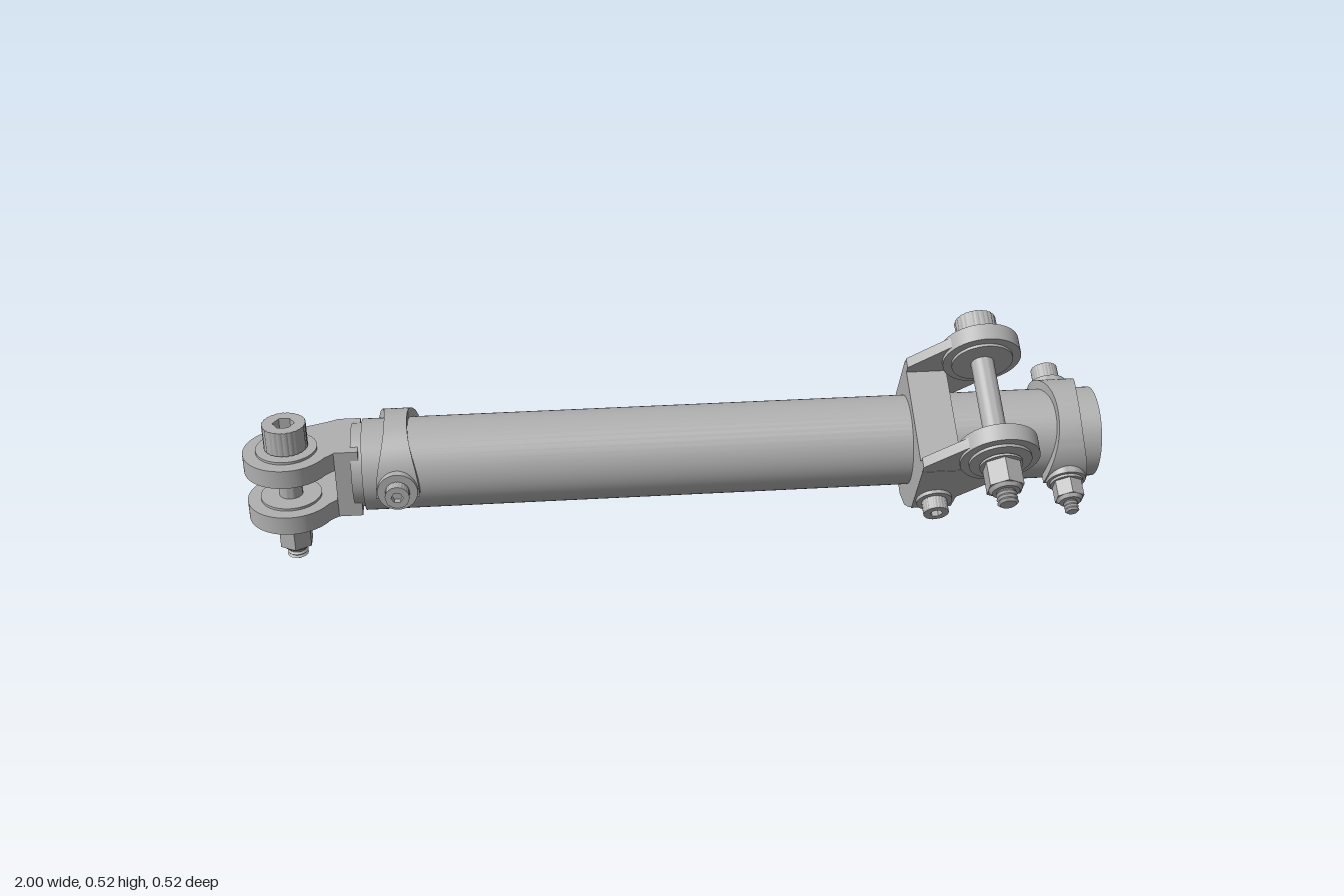
import * as THREE from 'three';
import { toCreasedNormals } from 'three/addons/utils/BufferGeometryUtils.js';

const CY = 0.208, CZ = -0.083; // tube axis
const steel = new THREE.MeshStandardMaterial({ color: 0xb0b0b0 });
steel.name = 'grey steel';

function add(parent, name, geo) {
  const m = new THREE.Mesh(toCreasedNormals(geo, 0.5), steel);
  m.name = name;
  parent.add(m);
  return m;
}

// hollow ring around +y, from y0 to y1
function ring(ri, ro, y0, y1, seg = 48) {
  const p = [[ri, y0], [ro, y0], [ro, y1], [ri, y1], [ri, y0]];
  return new THREE.LatheGeometry(p.map(([x, y]) => new THREE.Vector2(x, y)), seg);
}

// solid cylinder around +y, from y0 to y1
function rod(r, y0, y1, seg = 32) {
  return new THREE.CylinderGeometry(r, r, y1 - y0, seg).translate(0, (y0 + y1) / 2, 0);
}

// threaded rod with a chamfered tip, running down from y1 to y0
function thread(r, y0, y1) {
  const n = Math.max(2, Math.round((y1 - y0) / 0.009));
  const pts = [new THREE.Vector2(0, y0)];
  for (let i = 0; i <= 2 * n; i++) {
    const rr = i === 0 ? r * 0.75 : i % 2 ? r : r * 0.82;
    pts.push(new THREE.Vector2(rr, y0 + (y1 - y0) * i / (2 * n)));
  }
  return new THREE.LatheGeometry(pts, 24);
}

function extrude(shape, depth) {
  return new THREE.ExtrudeGeometry(shape, { depth, bevelEnabled: false, curveSegments: 24 });
}

// knurled cap head with a hexagonal socket, from y = 0 up
function capHead(r, len) {
  const s = new THREE.Shape();
  for (let i = 0; i < 72; i++) {
    const a = i / 72 * Math.PI * 2, rr = i % 3 ? r : r * 0.965;
    s[i ? 'lineTo' : 'moveTo'](rr * Math.cos(a), rr * Math.sin(a));
  }
  const hex = new THREE.Path();
  for (let i = 0; i < 6; i++) {
    const a = -i * Math.PI / 3;
    hex[i ? 'lineTo' : 'moveTo'](r * 0.5 * Math.cos(a), r * 0.5 * Math.sin(a));
  }
  s.holes.push(hex);
  return extrude(s, len).rotateX(-Math.PI / 2);
}

// bolt along y: head sits on y = 0, nut is clamped at y = -grip
function bolt(name, { headR, headLen, grip, r, nutR = 0, nutLen = 0, tip = 0, threaded = false }) {
  const g = new THREE.Group();
  g.name = name;
  add(g, 'boltHead', capHead(headR, headLen));
  add(g, 'socketFloor', rod(headR * 0.7, 0, headLen * 0.4));
  add(g, 'boltShank', threaded ? thread(r, -grip, 0) : rod(r, -grip, 0));
  if (nutR) {
    add(g, 'nutWasher', rod(nutR * 1.1, -grip - 0.006, -grip));
    add(g, 'nut', new THREE.CylinderGeometry(nutR, nutR, nutLen, 6).translate(0, -grip - nutLen / 2, 0));
    add(g, 'nutCollar', new THREE.CylinderGeometry(nutR * 0.86, nutR * 0.7, 0.008, 24).translate(0, -grip - nutLen - 0.004, 0));
    add(g, 'boltTip', thread(r * 0.9, -grip - nutLen - tip, -grip - nutLen));
  }
  return g;
}

// half-round strap over the tube, narrow on top and wide at its two bolt pads
function saddle(parent, name, x) {
  const g = new THREE.Group();
  g.name = name;
  g.position.x = x;
  parent.add(g);
  const geo = new THREE.BoxGeometry(1, 0.024, 1, 1, 1, 40);
  const p = geo.attributes.position;
  for (let i = 0; i < p.count; i++) {
    const a = (0.5 - p.getZ(i)) * (Math.PI + 0.3), r = 0.116 + p.getY(i);
    const w = 0.026 + 0.024 * Math.pow(Math.abs(Math.cos(a)), 2.5);
    p.setXYZ(i, p.getX(i) * 2 * w, r * Math.sin(a + 0), r * Math.cos(a));
  }
  // centre the bent arc on the top
  for (let i = 0; i < p.count; i++) {
    const y = p.getY(i), z = p.getZ(i), c = Math.cos(0.15), s = Math.sin(0.15);
    p.setY(i, y * c - z * s);
    p.setZ(i, y * s + z * c);
  }
  add(g, 'saddleStrap', geo);
  for (const s of [-1, 1]) {
    add(g, 'saddlePad', new THREE.CylinderGeometry(0.046, 0.05, 0.043, 32).rotateX(s * Math.PI / 2).translate(0, 0, s * 0.1135));
  }
  return g;
}

export function createModel() {
  const model = new THREE.Group();
  model.name = 'clampStrut';

  const axis = new THREE.Group(); // tube axis, level
  axis.name = 'strut';
  axis.position.set(0, CY, CZ);
  model.add(axis);
  const tilted = new THREE.Group(); // clamp frame, rolled about the tube
  tilted.name = 'tiltedFittings';
  tilted.position.copy(axis.position);
  tilted.rotation.x = Math.PI / 6;
  model.add(tilted);

  // main tube
  add(axis, 'mainTube', ring(0.088, 0.107, -0.73, 1).rotateZ(-Math.PI / 2));

  // clevis plug inside the left end of the tube
  add(axis, 'clevisPlug', rod(0.098, -0.755, -0.7, 48).rotateZ(-Math.PI / 2));
  add(axis, 'plugSleeve', ring(0.074, 0.0885, -0.7, -0.56, 24).rotateZ(-Math.PI / 2));

  // clevis fork
  const fork = new THREE.Group();
  fork.name = 'clevisFork';
  model.add(fork);
  const px = -0.9, pz = -0.033;
  add(fork, 'forkWeb', new THREE.BoxGeometry(0.055, 0.17, 0.16).translate(-0.765, 0.2025, -0.083));
  for (const y of [0.118, 0.241]) {
    const s = new THREE.Shape();
    s.moveTo(-0.745, 0.163);
    s.lineTo(-0.795, 0.163);
    s.quadraticCurveTo(-0.82, 0.15, px + 0.02, -pz + 0.098);
    s.absarc(px, -pz, 0.1, 1.37, Math.PI * 2 - 0.5, false);
    s.lineTo(-0.79, 0.005);
    s.lineTo(-0.745, 0.005);
    const hole = new THREE.Path();
    hole.absarc(px, -pz, 0.027, 0, Math.PI * 2, true);
    s.holes.push(hole);
    add(fork, 'forkProng', extrude(s, 0.045).rotateX(-Math.PI / 2).translate(0, y, 0));
    add(fork, 'prongBoss', ring(0.027, 0.07, y - 0.006, y + 0.051).translate(px, 0, pz));
  }
  const forkBolt = bolt('forkBolt', { headR: 0.05, headLen: 0.06, grip: 0.183, r: 0.027, nutR: 0.041, nutLen: 0.077, tip: 0.035 });
  forkBolt.position.set(px, 0.295, pz);
  model.add(forkBolt);

  // level saddle at the clevis end with a screw on each side
  const innerSaddle = saddle(axis, 'clevisSaddle', -0.65);
  for (const s of [-1, 1]) {
    const b = bolt('saddleScrew', { headR: 0.028, headLen: 0.025, grip: 0.08, r: 0.018, threaded: true });
    b.position.z = s * 0.134;
    b.rotation.x = s * Math.PI / 2;
    innerSaddle.add(b);
  }

  // tilted saddle at the open end with a through bolt
  const endSaddle = saddle(tilted, 'endSaddle', 0.92);
  const endBolt = bolt('endBolt', { headR: 0.032, headLen: 0.045, grip: 0.27, r: 0.019, nutR: 0.036, nutLen: 0.046, tip: 0.035, threaded: true });
  endBolt.position.z = -0.134;
  endBolt.rotation.x = -Math.PI / 2;
  endSaddle.add(endBolt);

  // clamp body around the tube, drawn as (-z, y)
  const body = new THREE.Shape();
  [[0.138, 0.13], [0.138, -0.05], [0.115, -0.095], [0.045, -0.145], [-0.07, -0.145],
    [-0.115, -0.115], [-0.14, -0.08], [-0.163, -0.04], [-0.163, 0.13]]
    .forEach(([x, y], i) => body[i ? 'lineTo' : 'moveTo'](x, y));
  const bore = new THREE.Path();
  bore.absarc(0, 0, 0.105, 0, Math.PI * 2, true);
  body.holes.push(bore);
  const clamp = new THREE.Group();
  clamp.name = 'clamp';
  tilted.add(clamp);
  add(clamp, 'clampBody', extrude(body, 0.095).rotateY(Math.PI / 2).translate(0.55, 0, 0));

  // two ears, each with a round boss
  const ex = 0.72, ey = 0.183, mid = 0.014;
  for (const s of [-1, 1]) {
    const ear = new THREE.Shape();
    ear.moveTo(0.55, -0.045);
    ear.lineTo(0.645, -0.045);
    ear.lineTo(0.65, 0);
    ear.lineTo(ex + 0.068, ey - 0.06);
    ear.absarc(ex, ey, 0.09, -0.72, 2.1, false);
    ear.lineTo(0.55, 0.15);
    add(clamp, 'clampEar', extrude(ear, 0.026).translate(0, 0, mid + s * 0.135 - 0.013));
    add(clamp, 'earBoss', rod(0.092, -0.021, 0.021, 48).rotateX(Math.PI / 2).translate(ex, ey, mid + s * 0.134));
    add(clamp, 'earWasher', rod(0.072, -0.028, 0.028, 48).rotateX(Math.PI / 2).translate(ex, ey, mid + s * 0.134));
    // clamp screw on each side
    const screw = bolt('clampScrew', { headR: 0.03, headLen: 0.035, grip: 0.05, r: 0.018 });
    screw.position.set(0.597, 0, mid + s * 0.154);
    screw.rotation.x = s * Math.PI / 2;
    add(screw, 'screwPad', rod(0.042, -0.02, 0.004));
    clamp.add(screw);
  }

  // long bolt across the ears
  const earBolt = bolt('earBolt', { headR: 0.049, headLen: 0.06, grip: 0.328, r: 0.027, nutR: 0.045, nutLen: 0.065, tip: 0.04 });
  earBolt.position.set(ex, ey, -0.148);
  earBolt.rotation.x = -Math.PI / 2;
  clamp.add(earBolt);

  return model;
}
